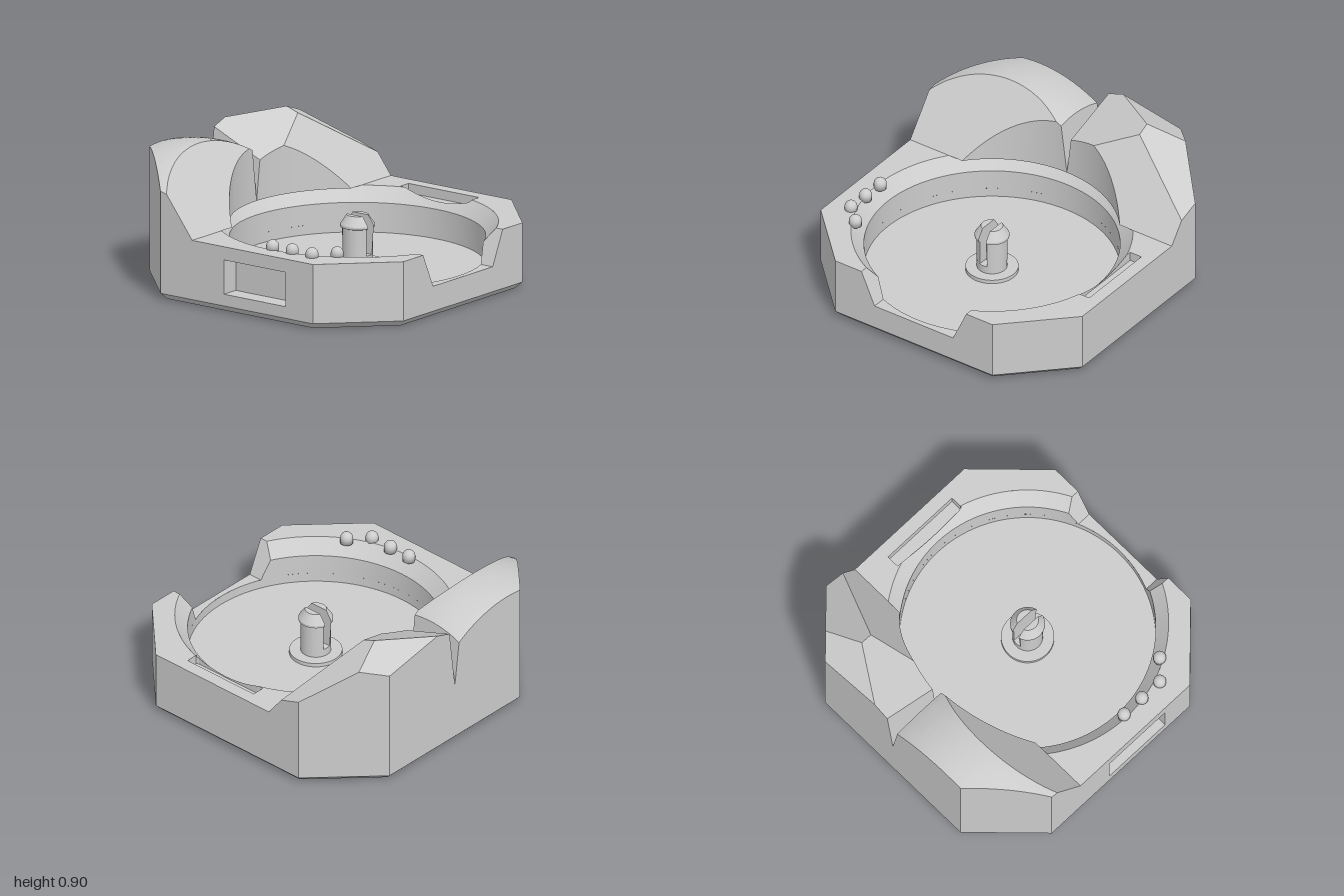
import * as THREE from 'three';
import { toCreasedNormals } from 'three/addons/utils/BufferGeometryUtils.js';

const CZ = 0.17;              // z of the round well's centre
const R = 0.795, RIM = 0.875; // well radius, outer radius of its bevel
const TOP = 0.42, BEVEL = 0.33, LIP = 0.2, FLOOR = 0.14, SKIRT = 0.04, BACK = -0.35;
const SLOT = { x0: 0.83, x1: 0.915, z0: -0.145, z1: 0.41, y: 0.36 };

const lift = (pts, y) => pts.map(([x, z]) => [x, y, z]);
const plan2 = pts => pts.map(p => [p[0], p[2]]);
const mirror = polys => polys.map(p => p.map(([x, y, z]) => [-x, y, z]).reverse());

// arc around the well's axis, angle measured from +z towards +x
function row(r, y, a0, a1, n) {
  return Array.from({ length: n + 1 }, (_, i) => {
    const a = a0 + (a1 - a0) * i / n;
    return [r * Math.sin(a), y, CZ + r * Math.cos(a)];
  });
}
const backAngle = r => Math.acos((BACK - CZ) / r);

// quads between successive rows of points
function loft(rows, closed = false) {
  const out = [];
  for (let k = 0; k + 1 < rows.length; k++) {
    const l = rows[k], u = rows[k + 1], n = l.length;
    for (let i = 0; i < (closed ? n : n - 1); i++) {
      const j = (i + 1) % n;
      out.push([l[i], l[j], u[j], u[i]]);
    }
  }
  return out;
}

// upward-facing sheet over a plan outline, at height h(x, z)
function sheet(plan, h) {
  const v = plan.map(p => new THREE.Vector2(p[0], p[1]));
  return THREE.ShapeUtils.triangulateShape(v, []).map(t => {
    const q = t.map(i => plan[i]);
    const c = (q[1][0] - q[0][0]) * (q[2][1] - q[0][1]) - (q[1][1] - q[0][1]) * (q[2][0] - q[0][0]);
    if (c > 0) q.reverse();
    return q.map(([x, z]) => [x, h(x, z), z]);
  });
}

const height = ([a, b, c], x, z) => a + b * x + c * z;

// part of a plan outline where plane p lies under plane q
function clip(plan, p, q) {
  const out = [];
  const d = s => height(p, ...s) - height(q, ...s);
  plan.forEach((s, i) => {
    const t = plan[(i + 1) % plan.length], ds = d(s), dt = d(t);
    if (ds <= 0) out.push(s);
    if (ds * dt < 0) {
      const k = ds / (ds - dt);
      out.push([s[0] + (t[0] - s[0]) * k, s[1] + (t[1] - s[1]) * k]);
    }
  });
  return out;
}

// solid standing on a plan, its top the lower envelope of several planes
function envelope(plan, planes, base) {
  const out = [];
  const dist = (a, b) => Math.hypot(a[0] - b[0], a[1] - b[1]);
  const onEdge = (s, e, f) => dist(s, e) + dist(s, f) - dist(e, f) < 1e-7;
  const onRim = (s, t) => plan.some((e, i) => {
    const f = plan[(i + 1) % plan.length];
    return onEdge(s, e, f) && onEdge(t, e, f);
  });
  for (const p of planes) {
    let part = plan;
    for (const q of planes) if (q !== p) part = clip(part, p, q);
    if (part.length < 3) continue;
    const h = (x, z) => height(p, x, z);
    out.push(...sheet(part, h));
    part.forEach((s, i) => {
      const t = part[(i + 1) % part.length];
      if (dist(s, t) > 1e-6 && onRim(s, t)) {
        out.push([[s[0], base, s[1]], [t[0], base, t[1]], [t[0], h(...t), t[1]], [s[0], h(...s), s[1]]]);
      }
    });
  }
  return out;
}

export function createModel() {
  const group = new THREE.Group();
  const grey = new THREE.MeshStandardMaterial({ color: 0xcccccc });
  grey.name = 'grey';
  function add(name, geometry, x = 0, y = 0, z = CZ) {
    const m = new THREE.Mesh(geometry, grey);
    m.name = name;
    m.position.set(x, y, z);
    group.add(m);
  }
  function build(name, polys) {
    const pos = [];
    for (const p of polys) {
      for (let i = 1; i + 1 < p.length; i++) pos.push(...p[0], ...p[i], ...p[i + 1]);
    }
    const g = new THREE.BufferGeometry();
    g.setAttribute('position', new THREE.Float32BufferAttribute(pos, 3));
    add(name, toCreasedNormals(g, 0.3), 0, 0, 0);
  }

  // bevelled foot
  const oct = [[0.6, 1], [1, 0.6], [1, -0.6], [0.6, -1], [-0.6, -1], [-1, -0.6], [-1, 0.6], [-0.6, 1]];
  const sole = lift(oct.map(([x, z]) => [x * 0.96, z * 0.96]), 0);
  build('foot', [...loft([sole, lift(oct, SKIRT)], true), [...sole].reverse()]);

  // outer walls, with the notched front
  for (const run of [oct.slice(0, 6), oct.slice(6)]) {
    build('outerWall', loft([lift(run, SKIRT), lift(run, TOP)]));
  }
  const frontSide = [[0.3, SKIRT, 1], [0.6, SKIRT, 1], [0.6, TOP, 1], [0.4, TOP, 1], [0.3, LIP, 1]];
  build('frontWall', [frontSide, ...mirror([frontSide]),
    [[-0.3, SKIRT, 1], [0.3, SKIRT, 1], [0.3, LIP, 1], [-0.3, LIP, 1]]]);

  // right wall with a recessed window
  const rect = (x, z0, y0, z1, y1) => [[x, y0, z0], [x, y0, z1], [x, y1, z1], [x, y1, z0]];
  const w = [-0.1, 0.115, 0.385, 0.335];
  build('rightWall', [
    rect(-1, -0.6, SKIRT, 0.6, w[1]), rect(-1, -0.6, w[3], 0.6, TOP),
    rect(-1, -0.6, w[1], w[0], w[3]), rect(-1, w[2], w[1], 0.6, w[3])]);
  const recess = rect(-0.88, ...w);
  build('sideRecess', [...loft([rect(-1, ...w), recess], true), recess]);

  // sunken round floor, its low wall, and the higher sill in the notch
  add('wellFloor', new THREE.CircleGeometry(R, 128).rotateX(-Math.PI / 2), 0, FLOOR);
  build('wellLowWall', loft([LIP, FLOOR].map(y => row(R, y, 0, 2 * Math.PI, 128))));
  const a0 = Math.asin(0.3 / R);
  build('notchSill', sheet([...plan2(row(R, 0, -a0, a0, 24)), [0.3, 1], [-0.3, 1]], () => LIP));

  // well wall and bevel, from the notch all the way round under the raised back
  const side = (r, y, x, end) => row(r, y, Math.asin(x / r), end, 128);
  const rim = side(RIM, TOP, 0.4, Math.PI);
  const mid = side(R, BEVEL, 0.359, Math.PI), low = side(R, LIP, 0.3, Math.PI);
  const slotRim = rim.map(([x, y, z]) => {
    if (x <= SLOT.x0 || z > SLOT.z1 || z < SLOT.z0) return [x, y, z];
    const k = SLOT.x0 / x, r = RIM * k;
    return [SLOT.x0, BEVEL + (r - R) * (TOP - BEVEL) / (RIM - R), CZ + (z - CZ) * k];
  });
  build('wellWallLeft', loft([slotRim, mid, low]));
  build('wellWallRight', mirror(loft([rim, mid, low])));
  const ceiling = loft([R, RIM].map(r => row(r, TOP, backAngle(r), Math.PI, 40)));
  build('bevelCeiling', [...ceiling, ...mirror(ceiling)]);
  const cheek = [[0.4, TOP, 1], [0.4, TOP, 0.948], [0.359, BEVEL, 0.879], [0.3, LIP, 0.906], [0.3, LIP, 1]];
  build('notchCheeks', [cheek, ...mirror([cheek])]);

  // flat top, the left half opened by the slot
  const rim2 = plan2(side(RIM, TOP, 0.4, backAngle(RIM)));
  const edge = [[1, BACK], [1, 0.6], [0.6, 1], [0.4, 1]];
  build('topRight', mirror(sheet([...rim2, ...edge], () => TOP)));
  const slotPath = [[SLOT.x0, SLOT.z1], [SLOT.x1, SLOT.z1], [SLOT.x1, SLOT.z0], [SLOT.x0, SLOT.z0], [SLOT.x0, -0.107]];
  build('topLeft', sheet([
    ...rim2.filter(p => p[1] > SLOT.z1), [0.841, SLOT.z1], ...slotPath.slice(1),
    ...rim2.filter(p => p[1] < -0.108), ...edge], () => TOP));
  build('topSlot', [
    ...loft([lift(slotPath, TOP), lift(slotPath, SLOT.y)]),
    ...sheet(slotPath.slice(0, 4), () => SLOT.y),
    ...loft([slotRim.map(([x, , z]) => [x, SLOT.y, z]), slotRim])]);

  // raised back: a ball-topped hill and a faceted rock, parted by a V cleft
  const rockPlan = [[1, BACK], [1, -0.6], [0.6, -1], [0, -1], ...plan2(row(R, 0, Math.PI, backAngle(R), 40))];
  const hillPlan = rockPlan.map(([x, z]) => [-x, z]).reverse();
  const slope = [TOP + BACK * 1.3, 0, -1.3];
  build('facetedRock', envelope(rockPlan, [
    slope, [TOP, 8.2, 0],
    [0.428, 0.349, -0.381], [1.348, -0.19, 0.4525], [0.878, -0.473, -0.331]], TOP));
  const ball = []; // tangent planes of a sphere
  for (let x = -1; x < 0.01; x += 0.05) {
    for (let z = -1; z < -0.5; z += 0.06) {
      const dx = x + 0.48, dz = z + 0.75, y = Math.sqrt(0.88 ** 2 - dx * dx - dz * dz);
      ball.push([y + (dx * x + dz * z) / y, -dx / y, -dz / y]);
    }
  }
  build('roundedHill', envelope(hillPlan, [slope, [TOP, -7.8, 0], ...ball], TOP));

  // split peg on a washer
  add('pegWasher', new THREE.CylinderGeometry(0.165, 0.165, 0.025, 64), 0, FLOOR + 0.0125);
  add('pegFoot', new THREE.CylinderGeometry(0.095, 0.095, 0.075, 48), 0, FLOOR + 0.0375);
  const pegRows = [[0.215, 0.095], [0.385, 0.095], [0.39, 0.108], [0.405, 0.108], [0.465, 0.068]].map(([y, r]) => {
    const a = Math.asin(0.028 / r);
    return row(r, y, a, Math.PI - a, 32);
  });
  const inner = [...pegRows.map(r => r[0]), ...pegRows.map(r => r[32]).reverse()];
  const half = [...loft(pegRows), pegRows[4], inner];
  build('pegHalfLeft', half);
  build('pegHalfRight', mirror(half));

  // round-headed studs
  const profile = [new THREE.Vector2(0, 0.405), new THREE.Vector2(0.04, 0.405)];
  for (let i = 0; i <= 8; i++) {
    const a = i / 8 * Math.PI / 2;
    profile.push(new THREE.Vector2(0.04 * Math.cos(a), 0.44 + 0.04 * Math.sin(a)));
  }
  const stud = new THREE.LatheGeometry(profile, 24);
  for (const [x, z] of [[-0.855, 0.17], [-0.855, 0.325], [-0.855, 0.48], [-0.742, 0.59]]) add('stud', stud, x, 0, z);
  return group;
}
